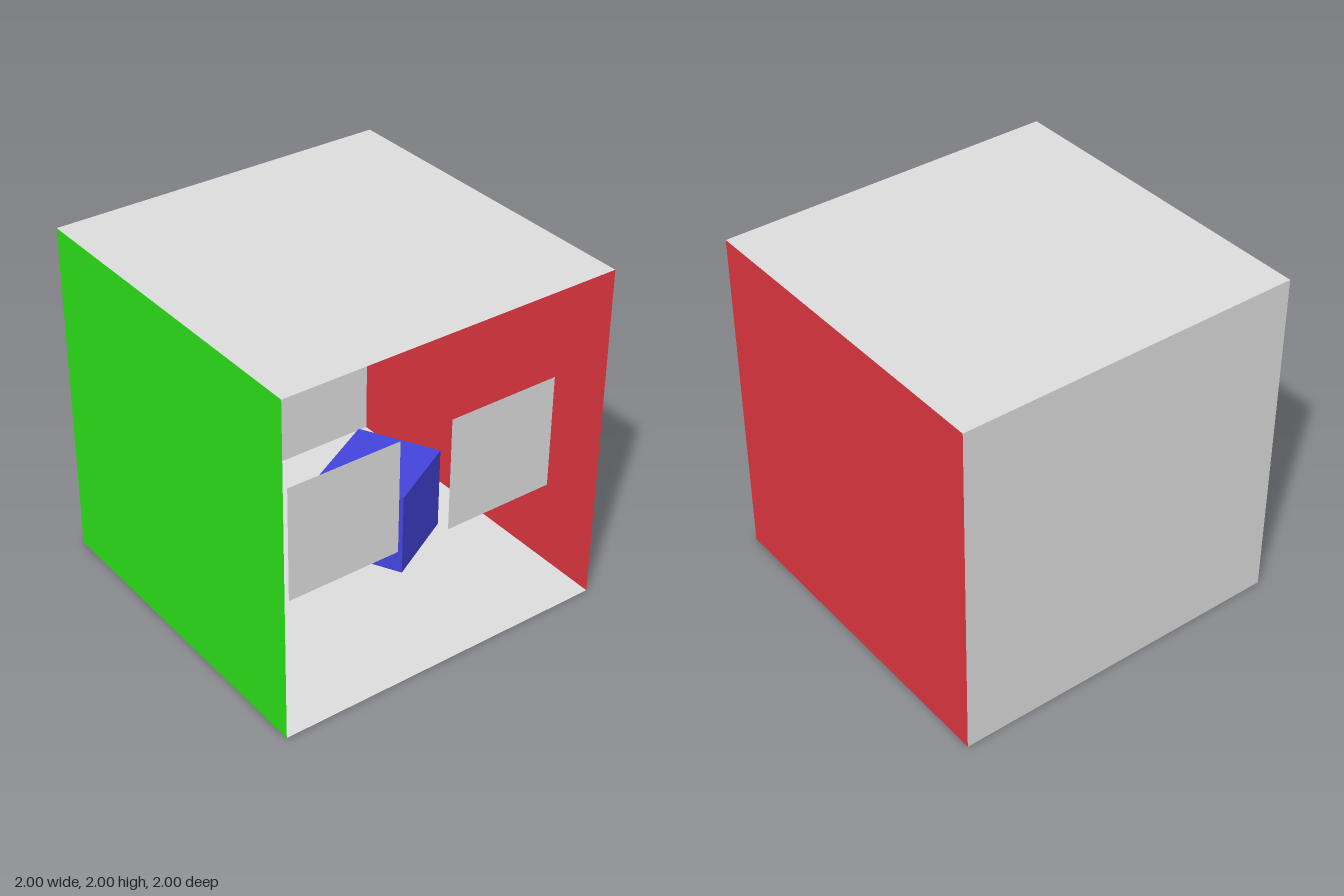
import * as THREE from 'three';

const material = (name, color) => {
  const m = new THREE.MeshStandardMaterial({ color, side: THREE.DoubleSide });
  m.name = name;
  return m;
};

export function createModel() {
  const grey = material('pale grey', 0xdddddd);
  const red = material('red', 0xde363f);
  const green = material('green', 0x2ce018);
  const blue = material('blue', 0x4444dd);
  const room = new THREE.Group();
  room.name = 'openRoom';

  // Flat sheet, facing +z before rotation
  const sheet = (name, size, mat, position, rx = 0, ry = 0) => {
    const mesh = new THREE.Mesh(new THREE.PlaneGeometry(size, size), mat);
    mesh.name = name;
    mesh.position.set(...position);
    mesh.rotation.set(rx, ry, 0);
    room.add(mesh);
  };

  // Block standing on the ground, turned about its vertical axis
  const block = (name, width, height, mat, x, z, turn) => {
    const mesh = new THREE.Mesh(new THREE.BoxGeometry(width, height, width), mat);
    mesh.name = name;
    mesh.position.set(x, height / 2, z);
    mesh.rotation.y = turn;
    room.add(mesh);
  };

  // Room shell, open at the front
  const q = Math.PI / 2;
  sheet('floor', 2, grey, [0, 0.002, 0], -q);
  sheet('ceiling', 2, grey, [0, 2, 0], q);
  sheet('backWall', 2, grey, [0, 1, -1]);
  sheet('leftWall', 2, red, [1, 1, 0], 0, -q);
  sheet('rightWall', 2, green, [-1, 1, 0], 0, q);

  // Blocks inside the room
  block('tallBlock', 0.485, 0.82, grey, -0.44, -0.335, -0.49);
  block('lowBlock', 0.505, 0.51, blue, 0.385, -0.06, 0.49);

  // Floating square panels near the opening
  for (const [name, x] of [['rightPanel', -0.5], ['leftPanel', 0.5]]) {
    sheet(name, 0.675, grey, [x, 1, 0.8]);
  }

  return room;
}
